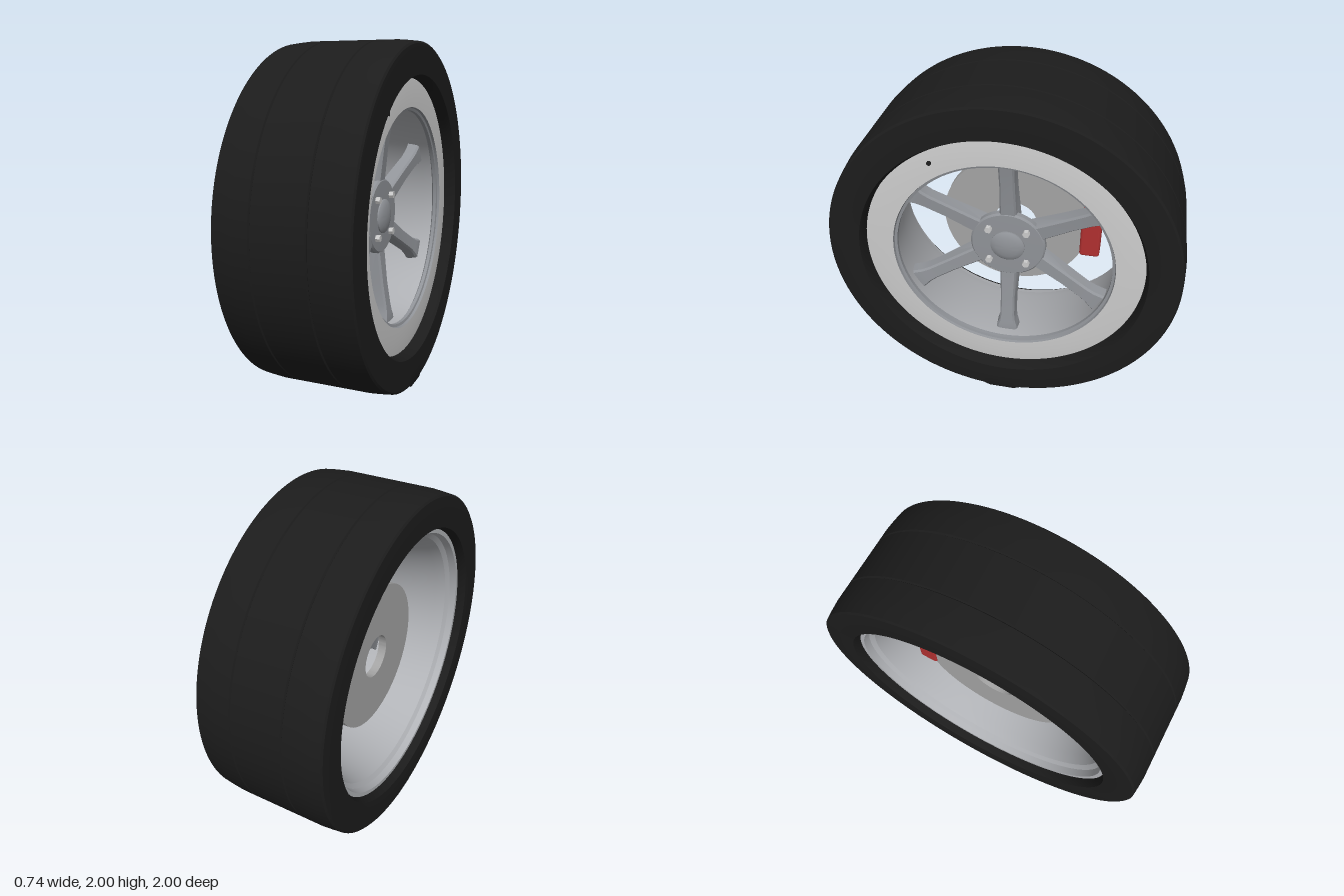
import * as THREE from 'three';
import { toCreasedNormals } from 'three/addons/utils/BufferGeometryUtils.js';
import { RoundedBoxGeometry } from 'three/addons/geometries/RoundedBoxGeometry.js';

const mat = (color) => new THREE.MeshStandardMaterial({ color });
const rubber = mat(0x1c1c1c), alloy = mat(0x909398), silver = mat(0xd6d6d8);
const barrelGrey = mat(0xb0b2b6), steel = mat(0xa4a4a4), red = mat(0xb03030);

// Surface of revolution about the x axle; profile points are [radius, x]
function revolve(profile, segments = 128) {
  const g = new THREE.LatheGeometry(profile.map(([r, x]) => new THREE.Vector2(r, x)), segments);
  return g.rotateZ(-Math.PI / 2);
}
const crease = (g, angle = 0.5) => toCreasedNormals(g, angle);

function add(parent, name, geometry, material) {
  const mesh = new THREE.Mesh(geometry, material);
  mesh.name = name;
  parent.add(mesh);
  return mesh;
}

// Tyre with two thin tread grooves and a flat contact patch
function tyreGeometry() {
  const g = revolve([
    [0.79, -0.2], [0.795, -0.34], [0.81, -0.37], [0.9, -0.372], [0.978, -0.37], [0.989, -0.362],
    [0.995, -0.31], [1, -0.25], [1, -0.156], [0.991, -0.15], [1, -0.144],
    [1, 0.144], [0.991, 0.15], [1, 0.156], [1, 0.25], [0.995, 0.31],
    [0.989, 0.362], [0.978, 0.37], [0.9, 0.372], [0.81, 0.37], [0.795, 0.34], [0.79, 0.2], [0.79, -0.2],
  ], 160);
  const p = g.attributes.position;
  for (let i = 0; i < p.count; i++) if (p.getY(i) < -0.985) p.setY(i, -1);
  return crease(g);
}

// Spoke along +y, lofted through bevelled sections:
// [radius, front half width, back half width, front x, back x]
function spokeGeometry() {
  const stations = [
    [0.17, 0.05, 0.064, 0.14, 0.06], [0.4, 0.043, 0.05, 0.165, 0.09], [0.53, 0.044, 0.05, 0.185, 0.115],
    [0.58, 0.05, 0.056, 0.193, 0.12], [0.61, 0.06, 0.065, 0.198, 0.125], [0.64, 0.066, 0.07, 0.2, 0.125],
  ];
  const pos = [], idx = [], n = 6;
  for (const [r, wf, wb, xf, xb] of stations) {
    const section = [[wb, xb], [wf, xf - 0.012], [wf - 0.01, xf], [0.01 - wf, xf], [-wf, xf - 0.012], [-wb, xb]];
    for (const [z, x] of section) pos.push(x, r, z);
  }
  for (let s = 0; s < stations.length - 1; s++) {
    for (let j = 0; j < n; j++) {
      const a = s * n + j, b = s * n + (j + 1) % n;
      idx.push(a, b, b + n, a, b + n, a + n);
    }
  }
  const g = new THREE.BufferGeometry();
  g.setAttribute('position', new THREE.Float32BufferAttribute(pos, 3));
  g.setIndex(idx);
  return crease(g);
}

export function createModel() {
  const model = new THREE.Group();
  model.name = 'wheel';
  const wheel = new THREE.Group();
  wheel.name = 'wheelAssembly';
  wheel.position.y = 1;
  model.add(wheel);

  add(wheel, 'tyre', tyreGeometry(), rubber);

  // Rim: broad outer face, narrow inner lip and barrel open to the back
  add(wheel, 'rimFace', crease(revolve([
    [0.8, 0.24], [0.8, 0.29], [0.79, 0.3], [0.72, 0.308], [0.632, 0.31],
  ])), silver);
  add(wheel, 'rimLip', crease(revolve([
    [0.632, 0.31], [0.628, 0.296], [0.613, 0.292], [0.613, 0.272], [0.63, 0.262],
  ])), alloy);
  add(wheel, 'rimBarrel', crease(revolve([
    [0.63, 0.262], [0.635, 0.2], [0.66, 0.05], [0.715, -0.2], [0.735, -0.26], [0.76, -0.28], [0.77, -0.32],
    [0.8, -0.32], [0.8, -0.26], [0.755, -0.22], [0.7, 0.05], [0.68, 0.22], [0.8, 0.24],
  ], 128)), barrelGrey);

  // Valve stem in the rim face
  const valve = add(wheel, 'valve', new THREE.CylinderGeometry(0.012, 0.012, 0.03, 16).rotateZ(-Math.PI / 2), rubber);
  valve.position.set(0.303, 0.61, 0.375);

  // Six spokes
  const spoke = spokeGeometry();
  for (let i = 0; i < 6; i++) add(wheel, 'spoke', spoke, alloy).rotation.x = i * Math.PI / 3;

  // Hub plate, domed cap and four hexagonal bolts
  add(wheel, 'hub', crease(revolve([
    [0, 0.04], [0.16, 0.04], [0.19, 0.09], [0.212, 0.1], [0.22, 0.108], [0.22, 0.138], [0.21, 0.148], [0, 0.152],
  ], 64)), alloy);
  add(wheel, 'hubCap', crease(revolve([
    [0.1, 0.145], [0.1, 0.158], [0.09, 0.165], [0.065, 0.173], [0.035, 0.178], [0, 0.18],
  ], 48)), alloy);
  const bolt = crease(new THREE.CylinderGeometry(0.021, 0.021, 0.04, 6).rotateZ(-Math.PI / 2));
  for (const y of [-0.11, 0.11]) {
    for (const z of [-0.11, 0.11]) add(wheel, 'bolt', bolt, silver).position.set(0.155, y, z);
  }

  // Brake disc with centre hole, and its caliper
  add(wheel, 'brakeDisc', crease(revolve([
    [0.13, -0.14], [0.44, -0.14], [0.44, -0.09], [0.13, -0.09], [0.13, -0.14],
  ], 96)), steel);
  add(wheel, 'brakeCaliper', new RoundedBoxGeometry(0.12, 0.32, 0.12, 4, 0.018), red).position.set(-0.09, 0, -0.46);

  return model;
}
